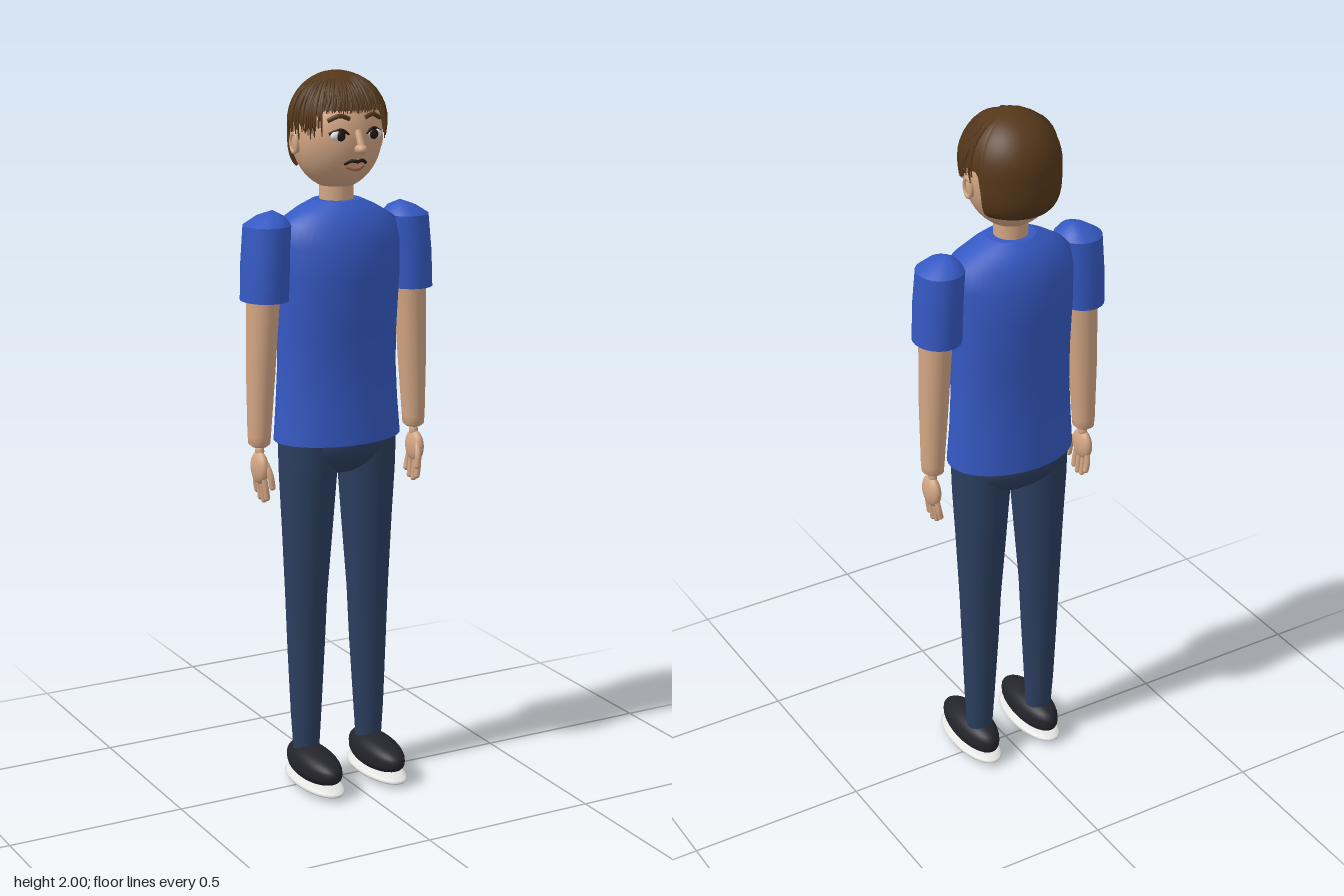
import * as THREE from 'three';
import { mergeGeometries, toCreasedNormals } from 'three/addons/utils/BufferGeometryUtils.js';

const mat = (name, color, side = THREE.FrontSide) => {
  const m = new THREE.MeshStandardMaterial({ color, side });
  m.name = name;
  return m;
};

// Closed tube of elliptical rings, each [y, cx, cz, rx, rz], listed from bottom to top
function loft(rings, n = 32) {
  const pos = [], idx = [];
  const ring = ([y, cx, cz, rx, rz]) => {
    const start = pos.length / 3;
    for (let i = 0; i < n; i++) {
      const a = (i / n) * Math.PI * 2;
      pos.push(cx + Math.sin(a) * rx, y, cz + Math.cos(a) * rz);
    }
    return start;
  };
  const starts = rings.map(ring);
  for (let k = 0; k < rings.length - 1; k++) {
    for (let i = 0; i < n; i++) {
      const j = (i + 1) % n, a = starts[k], b = starts[k + 1];
      idx.push(a + i, a + j, b + j, a + i, b + j, b + i);
    }
  }
  [rings[0], rings[rings.length - 1]].forEach((r, top) => {
    const s = ring(r), c = pos.length / 3;
    pos.push(r[1], r[0], r[2]);
    for (let i = 0; i < n; i++) {
      const j = (i + 1) % n;
      if (top) idx.push(c, s + i, s + j);
      else idx.push(c, s + j, s + i);
    }
  });
  const g = new THREE.BufferGeometry();
  g.setAttribute('position', new THREE.Float32BufferAttribute(pos, 3));
  // Recentre the cap points on their rings
  [0, rings.length - 1].forEach((k, e) => {
    g.attributes.position.setXYZ(rings.length * n + n + e * (n + 1), rings[k][1], rings[k][0], rings[k][2]);
  });
  g.setIndex(idx);
  g.computeVertexNormals();
  return g;
}

const ball = (x, y, z, rx, ry, rz, w = 24, h = 16) =>
  new THREE.SphereGeometry(1, w, h).scale(rx, ry, rz).translate(x, y, z);

const tube = (pts, r, seg = 10, radial = 8) =>
  new THREE.TubeGeometry(new THREE.CatmullRomCurve3(pts.map(p => new THREE.Vector3(...p))), seg, r, radial);

// Point on the hair surface: a is the angle round the head from the front, u the height from -1 to 1
function scalp(a, u, grow = 1) {
  const r = u > 0 ? Math.sqrt(Math.max(0, 1 - u * u)) : Math.pow(1 - u ** 4, 0.25);
  return new THREE.Vector3(Math.sin(a) * r * 0.13 * grow, 1.86 + u * 0.137 * grow, -0.025 + Math.cos(a) * r * 0.138 * grow);
}

// Hairline: high over the forehead, lower at the temples, down to the nape behind
function hairline(a) {
  const s = Math.abs(a), step = THREE.MathUtils.smoothstep;
  return 0.32 - 0.27 * step(s, 0.75, 1.15) - 0.92 * step(s, 1.88, 1.98);
}

function hairCap() {
  const nA = 96, nU = 20, g = new THREE.PlaneGeometry(1, 1, nA, nU), p = g.attributes.position;
  for (let i = 0; i < p.count; i++) {
    const a = (p.getX(i) * 2) * Math.PI, f = 0.5 - p.getY(i);
    const end = Math.acos(hairline(a));
    const v = scalp(a, Math.cos(end * f));
    p.setXYZ(i, v.x, v.y, v.z);
  }
  g.computeVertexNormals();
  return g;
}

// Tapered locks lying over the front and sides
function hairStrands() {
  let seed = 7;
  const rnd = () => (seed = (seed * 16807) % 2147483647) / 2147483647;
  const out = [], N = 84;
  for (let k = 0; k < N; k++) {
    const a = -1.75 + 3.5 * (k + rnd() * 0.8) / N;
    const s = Math.abs(a), bend = (rnd() - 0.5) * 0.25;
    const u1 = s < 0.8 ? 0.3 - rnd() * 0.04 : 0.02 - rnd() * 0.3;
    const t0 = 0.3 + rnd() * 0.65, t1 = Math.acos(u1);
    const pts = [0, 1, 2, 3, 4].map(i => scalp(a + bend * (1 - i / 4), Math.cos(t0 + (t1 - t0) * i / 4), 0.99 + 0.025 * Math.sin(i * 0.7)));
    const curve = new THREE.CatmullRomCurve3(pts), R = 0.0045;
    const g = new THREE.TubeGeometry(curve, 8, R, 5), p = g.attributes.position, v = new THREE.Vector3();
    for (let i = 0; i < p.count; i++) {
      const t = Math.floor(i / 6) / 8, c = curve.getPointAt(t);
      v.fromBufferAttribute(p, i).sub(c).multiplyScalar(0.15 + 0.85 * Math.sin(Math.PI * (0.1 + 0.85 * t))).add(c);
      p.setXYZ(i, v.x, v.y, v.z);
    }
    out.push(g);
  }
  return mergeGeometries(out);
}

function shoeUpper(x) {
  const g = new THREE.SphereGeometry(1, 32, 20), p = g.attributes.position;
  for (let i = 0; i < p.count; i++) {
    const y = p.getY(i), z = p.getZ(i);
    const h = Math.sign(y) * Math.pow(Math.abs(y), 0.8);
    p.setXYZ(i, x + p.getX(i) * 0.055, 0.068 + h * (0.048 - 0.006 * z), 0.029 + z * 0.132);
  }
  g.computeVertexNormals();
  return g;
}

export function createModel() {
  const model = new THREE.Group();
  model.name = 'standingMan';
  const skin = mat('skin', 0xd3a684), hair = mat('hair', 0x553719, THREE.DoubleSide);
  const shirt = mat('shirtBlue', 0x3559c3), denim = mat('denim', 0x2c3f60);
  const leather = mat('shoeBlack', 0x24242c), rubber = mat('soleWhite', 0xe4e4e2);
  const white = mat('eyeWhite', 0xf2f0ec), dark = mat('pupilDark', 0x21160f), lip = mat('lip', 0xa5674f);
  const add = (name, geo, m) => {
    const mesh = new THREE.Mesh(geo, m);
    mesh.name = name;
    model.add(mesh);
    return mesh;
  };

  // Shirt body and hips
  add('shirtBody', loft([
    [1.0, 0, -0.022, 0.185, 0.127], [1.1, 0, -0.024, 0.178, 0.12], [1.2, 0, -0.024, 0.173, 0.116],
    [1.3, 0, -0.023, 0.173, 0.121], [1.45, 0, -0.021, 0.178, 0.136], [1.54, 0, -0.022, 0.179, 0.131],
    [1.6, 0, -0.024, 0.17, 0.112], [1.635, 0, -0.025, 0.112, 0.085], [1.655, 0, -0.025, 0.068, 0.062],
  ], 48), shirt);
  add('hips', ball(0, 0.99, -0.027, 0.165, 0.096, 0.108, 32, 20), denim);

  // Head
  add('neck', new THREE.CylinderGeometry(0.046, 0.046, 0.1, 24).translate(0, 1.68, -0.025), skin);
  add('head', ball(0, 1.83, -0.025, 0.123, 0.148, 0.124, 40, 28), skin);
  add('noseTip', ball(0, 1.803, 0.112, 0.016, 0.014, 0.02), skin);
  add('noseBridge', tube([[0, 1.85, 0.094], [0, 1.828, 0.106], [0, 1.806, 0.117]], 0.01), skin);
  add('hairCap', hairCap(), hair);
  add('hairStrands', hairStrands(), hair);
  add('moustacheLine', tube([[-0.032, 1.762, 0.078], [-0.015, 1.771, 0.091], [0, 1.768, 0.095], [0.015, 1.771, 0.091], [0.032, 1.762, 0.078]], 0.0045), dark);
  add('lowerLip', tube([[-0.024, 1.755, 0.078], [0, 1.748, 0.088], [0.024, 1.755, 0.078]], 0.006), lip);

  for (const s of [1, -1]) {
    const side = s > 0 ? 'left' : 'right';

    // Face features
    add(side + 'Eye', ball(s * 0.05, 1.838, 0.085, 0.026, 0.015, 0.011), white);
    add(side + 'Pupil', ball(s * 0.049, 1.838, 0.093, 0.013, 0.0135, 0.006), dark);
    add(side + 'EyelidLine', tube([[s * 0.024, 1.84, 0.092], [s * 0.048, 1.854, 0.091], [s * 0.076, 1.843, 0.076]], 0.004), dark);
    add(side + 'Eyebrow', tube([[s * 0.022, 1.881, 0.089], [s * 0.048, 1.89, 0.086], [s * 0.078, 1.877, 0.071]], 0.006), hair);
    add(side + 'Ear', ball(s * 0.119, 1.812, -0.025, 0.011, 0.028, 0.019), skin);
    add(side + 'EarRim', new THREE.TorusGeometry(0.02, 0.005, 8, 24).rotateY(Math.PI / 2).scale(1, 1.25, 0.9).translate(s * 0.127, 1.812, -0.025), skin);

    // Sleeve and arm
    add(side + 'Sleeve', toCreasedNormals(loft([
      [1.4, s * 0.221, -0.019, 0.064, 0.073], [1.5, s * 0.217, -0.02, 0.065, 0.073], [1.6, s * 0.21, -0.022, 0.064, 0.069],
      [1.622, s * 0.201, -0.022, 0.038, 0.045], [1.638, s * 0.195, -0.022, 0.002, 0.002],
    ], 28), 0.5), shirt);
    add(side + 'Arm', loft([
      [0.998, s * 0.24, -0.019, 0.02, 0.022], [1.006, s * 0.24, -0.019, 0.029, 0.033], [1.03, s * 0.24, -0.019, 0.031, 0.035],
      [1.2, s * 0.234, -0.019, 0.039, 0.041], [1.45, s * 0.223, -0.019, 0.046, 0.048],
    ], 24), skin);

    // Hand with thumb and four fingers
    const parts = [ball(s * 0.242, 0.94, -0.014, 0.02, 0.046, 0.04), ball(s * 0.24, 0.985, -0.017, 0.012, 0.02, 0.014)];
    [-0.046, -0.026, -0.005, 0.014].forEach((z, i) => {
      const tip = [0.862, 0.846, 0.842, 0.852][i];
      parts.push(tube([[s * 0.242, 0.925, z * 0.8 - 0.002], [s * 0.238, 0.89, z], [s * 0.234, tip + 0.008, z]], 0.0085));
      parts.push(ball(s * 0.234, tip + 0.008, z, 0.0085, 0.0085, 0.0085, 10, 8));
    });
    parts.push(tube([[s * 0.236, 0.955, 0.012], [s * 0.23, 0.925, 0.027], [s * 0.226, 0.893, 0.03]], 0.009));
    parts.push(ball(s * 0.226, 0.893, 0.03, 0.009, 0.009, 0.009, 10, 8));
    add(side + 'Hand', mergeGeometries(parts), skin);

    // Trouser leg
    add(side + 'TrouserLeg', loft([
      [0.1, s * 0.1, -0.02, 0.037, 0.036], [0.2, s * 0.1, -0.021, 0.043, 0.042], [0.4, s * 0.098, -0.023, 0.053, 0.05],
      [0.55, s * 0.097, -0.023, 0.059, 0.056], [0.75, s * 0.093, -0.022, 0.071, 0.069], [0.9, s * 0.091, -0.021, 0.08, 0.08],
      [1.02, s * 0.089, -0.021, 0.085, 0.085],
    ], 28), denim);

    // Shoe
    add(side + 'ShoeUpper', shoeUpper(s * 0.1), leather);
    add(side + 'ShoeSole', ball(s * 0.1, 0.018, 0.03, 0.06, 0.018, 0.141, 32, 12), rubber);
  }
  return model;
}
